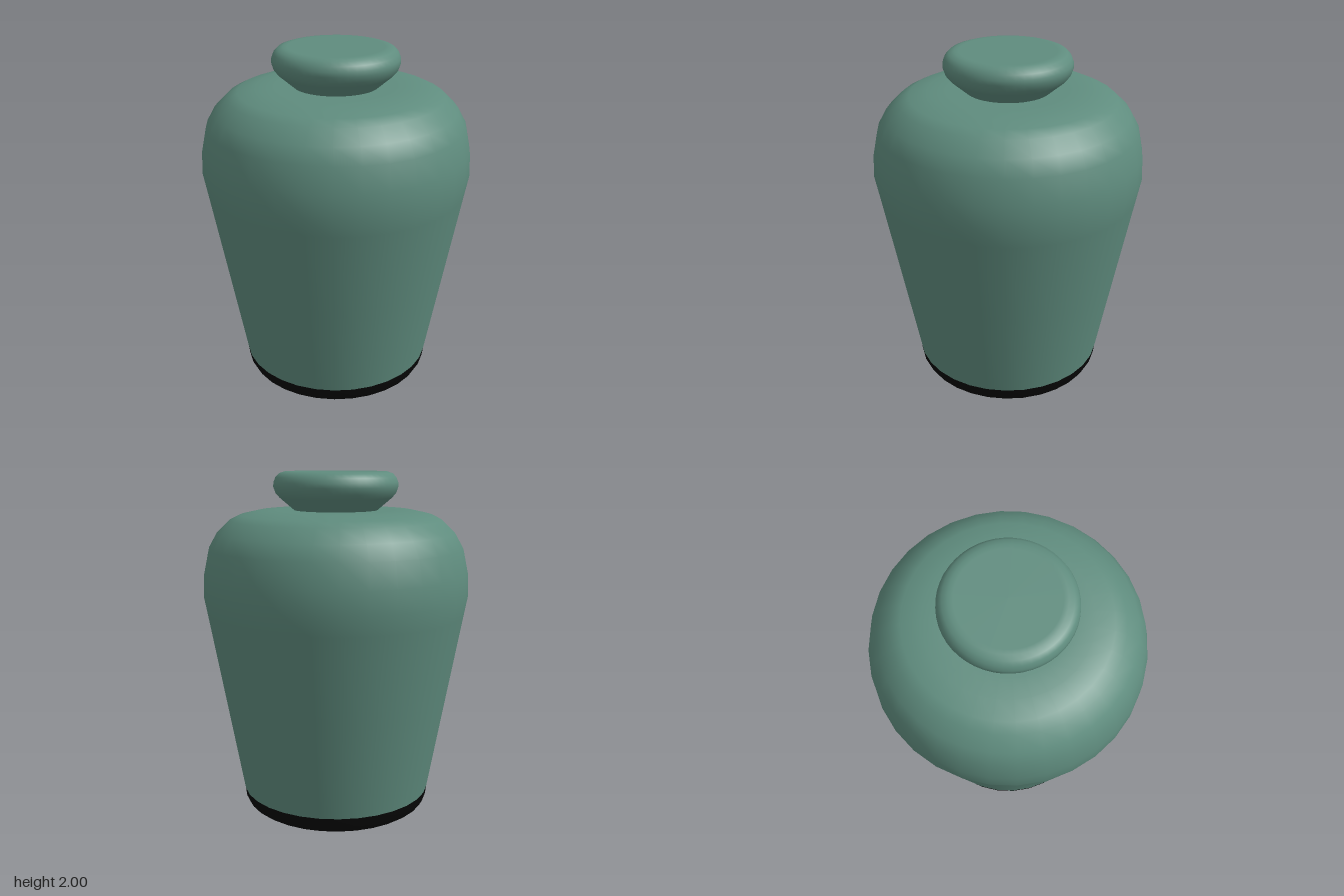
import * as THREE from 'three';

const glaze = new THREE.MeshStandardMaterial({ name: 'green glaze', color: 0x5f8c7e });
const dark = new THREE.MeshStandardMaterial({ name: 'black foot', color: 0x060606 });

// Turn a bottom-to-top profile of [radius, height] pairs around the y axis
function turned(name, profile, material, sides) {
  const points = profile.map(([r, y]) => new THREE.Vector2(r, y));
  const mesh = new THREE.Mesh(new THREE.LatheGeometry(points, sides), material);
  mesh.name = name;
  return mesh;
}

export function createModel() {
  const model = new THREE.Group();
  model.name = 'liddedJar';

  // Dark rounded foot with a closed underside
  model.add(turned('foot', [
    [0, 0], [0.44, 0], [0.48, 0.002], [0.515, 0.012], [0.54, 0.03], [0.556, 0.06], [0.563, 0.11],
  ], dark, 32));

  // Tapered body with a full round shoulder
  model.add(turned('body', [
    [0.563, 0.11], [0.66, 0.66], [0.754, 1.19], [0.774, 1.3], [0.768, 1.43], [0.738, 1.57],
    [0.69, 1.655], [0.615, 1.727], [0.555, 1.757], [0.45, 1.78], [0.34, 1.782], [0.2, 1.782],
  ], glaze, 32));

  // Flared stopper with a soft rim and flat top
  model.add(turned('stopper', [
    [0.22, 1.76], [0.245, 1.785], [0.325, 1.853], [0.348, 1.88], [0.36, 1.915], [0.358, 1.94],
    [0.347, 1.968], [0.325, 1.99], [0.295, 2], [0.27, 2], [0, 2],
  ], glaze, 48));

  return model;
}
